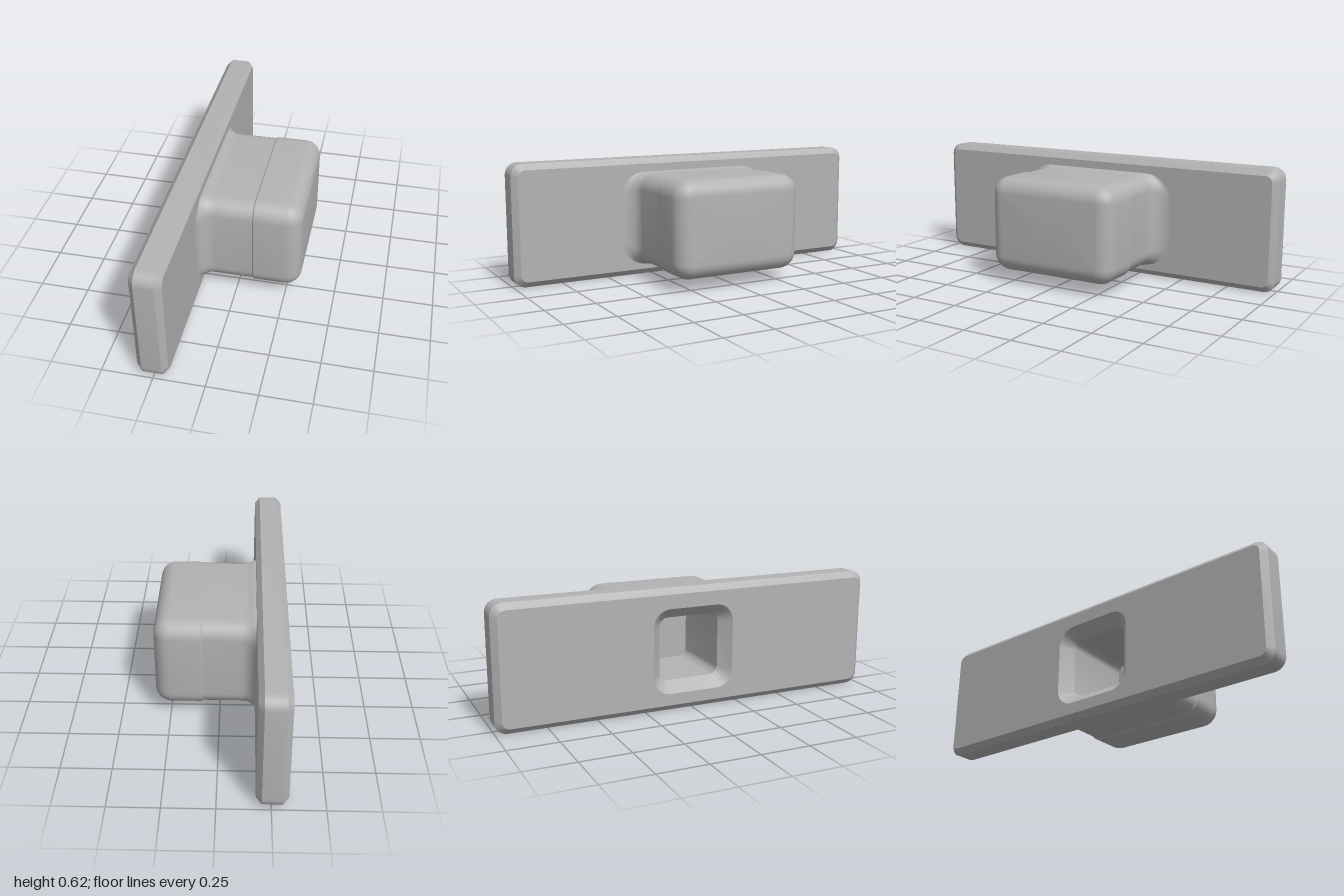
import * as THREE from 'three';
import { toCreasedNormals } from 'three/addons/utils/BufferGeometryUtils.js';

const SEG = 8; // segments per rounded corner

// Rounded rectangle in the y/z plane: [x, half height, half width, corner radius]
function ring([x, hy, hz, r], cy) {
  const pts = [];
  for (let c = 0; c < 4; c++) {
    const sz = c === 0 || c === 3 ? 1 : -1;
    const sy = c < 2 ? 1 : -1;
    for (let i = 0; i <= SEG; i++) {
      const a = (c + i / SEG) * Math.PI / 2;
      pts.push([x, cy + sy * (hy - r) + r * Math.sin(a), sz * (hz - r) + r * Math.cos(a)]);
    }
  }
  return pts;
}

// Skin a list of rings
function loft(rings) {
  const n = rings[0].length;
  const index = [];
  for (let k = 0; k < rings.length - 1; k++) {
    for (let i = 0; i < n; i++) {
      const j = (i + 1) % n;
      const a = k * n + i, b = k * n + j, c = a + n, d = b + n;
      index.push(a, c, b, b, c, d);
    }
  }
  const geo = new THREE.BufferGeometry();
  geo.setAttribute('position', new THREE.Float32BufferAttribute(rings.flat(2), 3));
  geo.setIndex(index);
  return toCreasedNormals(geo.toNonIndexed(), 0.5);
}

export function createModel() {
  const group = new THREE.Group();
  const grey = new THREE.MeshStandardMaterial({ color: 0xb3b3b3 });
  grey.name = 'plainGrey';
  const add = (name, rings) => {
    const mesh = new THREE.Mesh(loft(rings), grey);
    mesh.name = name;
    group.add(mesh);
  };
  const plateY = 0.31, bodyY = 0.304;
  const rootSection = [-0.18, 0.246, 0.43, 0.14];

  // Chamfered plate with a flared socket opening in its back
  add('basePlate', [
    ...[[0.1, 0, 0, 0], [0.1, 0.16, 0.16, 0.045], [-0.27, 0.16, 0.16, 0.045],
      [-0.33, 0.215, 0.215, 0.09]].map(s => ring(s, bodyY)),
    ...[[-0.33, 0.28, 0.97, 0.035], [-0.302, 0.31, 1, 0.06], [-0.206, 0.31, 1, 0.06],
      [-0.18, 0.28, 0.97, 0.035]].map(s => ring(s, plateY)),
    ring(rootSection, bodyY),
  ]);

  // Neck with side fillets flowing out of the plate
  const neck = [];
  for (let i = 0; i <= 6; i++) {
    const a = i / 6 * Math.PI / 2;
    const x = -0.18 + 0.075 * (1 - Math.cos(a));
    const hz = 0.43 - 0.085 * Math.sin(a);
    neck.push([x, x < -0.148 ? 0.246 : 0.24, hz, 0.08 + (hz - 0.345) * 0.7]);
  }
  neck.push([0.085, 0.24, 0.345, 0.08]);
  add('neck', neck.map(s => ring(s, bodyY)));

  // Slightly wider head with a rounded end
  const head = [[0.085, 0.24, 0.345, 0.08], [0.091, 0.246, 0.351, 0.086]];
  for (let i = 0; i <= 8; i++) {
    const a = i / 8 * Math.PI / 2;
    const inset = 0.08 * (1 - Math.cos(a));
    head.push([0.247 + 0.08 * Math.sin(a), 0.246 - inset, 0.351 - inset, 0.086 - inset]);
  }
  head.push([0.327, 0, 0, 0]);
  add('head', head.map(s => ring(s, bodyY)));

  return group;
}
